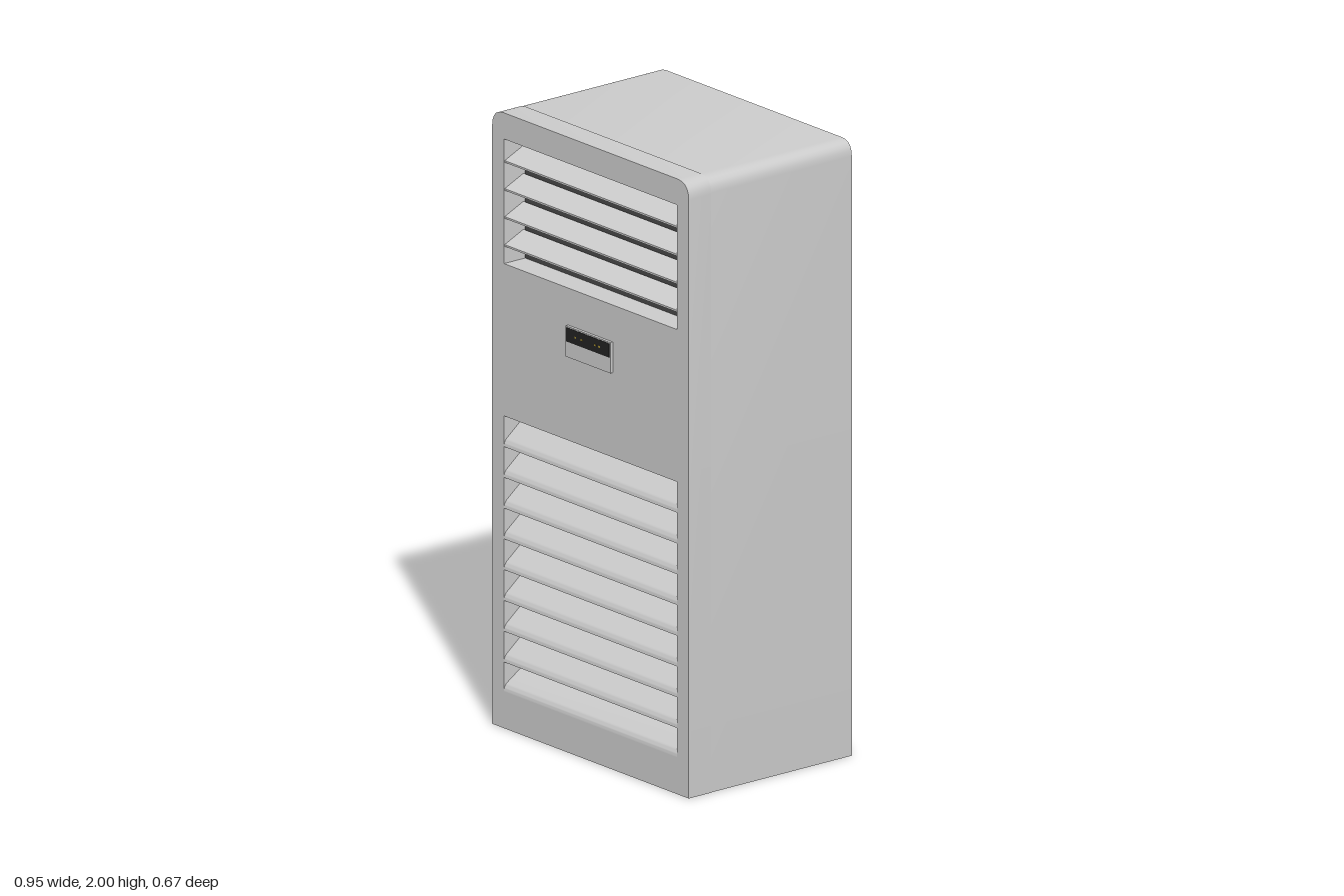
import * as THREE from 'three';
import { toCreasedNormals } from 'three/addons/utils/BufferGeometryUtils.js';

const grey = new THREE.MeshStandardMaterial({ color: 0xcccccc });
const dark = new THREE.MeshStandardMaterial({ color: 0x484848 });
const black = new THREE.MeshStandardMaterial({ color: 0x222222 });
const yellow = new THREE.MeshStandardMaterial({ color: 0xa08a30 });

const FRONT = 0.32, SEAM = 0.23, BACK = -0.335;
const OPENING = 0.418; // half width of both grilles

// Cabinet outline: square base, rounded top corners
function outline(w, h, r) {
  const s = new THREE.Shape();
  s.moveTo(-w, 0);
  s.lineTo(w, 0);
  s.lineTo(w, h - r);
  s.quadraticCurveTo(w, h, w - r, h);
  s.lineTo(-w + r, h);
  s.quadraticCurveTo(-w, h, -w, h - r);
  s.closePath();
  return s;
}

function rectHole(y0, y1) {
  const p = new THREE.Path();
  p.moveTo(-OPENING, y0);
  p.lineTo(-OPENING, y1);
  p.lineTo(OPENING, y1);
  p.lineTo(OPENING, y0);
  p.closePath();
  return p;
}

// Extrude a (z, y) section across the width
function acrossWidth(shape) {
  const g = new THREE.ExtrudeGeometry(shape, { depth: OPENING * 2, bevelEnabled: false, curveSegments: 8 });
  g.rotateY(-Math.PI / 2);
  g.translate(OPENING, 0, 0);
  return toCreasedNormals(g, 0.6);
}

export function createModel() {
  const model = new THREE.Group();
  model.name = 'floorStandingAirConditioner';
  const add = (name, geometry, material, x = 0, y = 0, z = 0) => {
    const m = new THREE.Mesh(geometry, material);
    m.name = name;
    m.position.set(x, y, z);
    model.add(m);
  };
  const box = (w, h, d) => new THREE.BoxGeometry(w, h, d);
  const extrude = (shape, depth) => toCreasedNormals(
    new THREE.ExtrudeGeometry(shape, { depth, bevelEnabled: false, curveSegments: 5 }), 0.5);

  // Rear cabinet and the slightly proud front shell
  add('cabinet', extrude(outline(0.473, 1.998, 0.05), SEAM - BACK), grey, 0, 0, BACK);
  const front = outline(0.475, 2, 0.055);
  front.holes.push(rectHole(1.51, 1.915), rectHole(0.12, 1.015));
  add('frontShell', extrude(front, FRONT - SEAM), grey, 0, 0, SEAM);

  // Dark backing inside the grilles
  add('upperBacking', box(OPENING * 2, 0.405, 0.004), dark, 0, 1.7125, SEAM + 0.003);
  add('lowerBacking', box(OPENING * 2, 0.895, 0.004), dark, 0, 0.5675, SEAM + 0.003);

  // Upper outlet: straight sloping blades
  const blade = new THREE.Shape();
  blade.moveTo(SEAM + 0.012, 0.04);
  blade.lineTo(SEAM + 0.012, 0.034);
  blade.lineTo(FRONT - 0.003, 0);
  blade.lineTo(FRONT - 0.003, 0.006);
  blade.closePath();
  const bladeGeo = acrossWidth(blade);
  for (let i = 0; i < 4; i++) add('upperBlade' + (i + 1), bladeGeo, grey, 0, 1.838 - i * 0.091, 0);

  // Lower intake: blades rolled over at the front edge
  const louver = new THREE.Shape();
  louver.moveTo(SEAM + 0.01, 0.08);
  louver.lineTo(SEAM + 0.01, 0.07);
  louver.lineTo(FRONT - 0.012, 0.01);
  louver.lineTo(FRONT - 0.008, 0);
  louver.lineTo(FRONT, 0);
  louver.quadraticCurveTo(FRONT, 0.018, FRONT - 0.016, 0.029);
  louver.closePath();
  const louverGeo = acrossWidth(louver);
  for (let i = 0; i < 8; i++) add('lowerLouver' + (i + 1), louverGeo, grey, 0, 0.915 - i * 0.1, 0);

  // Solid sill running into the panel under the last gap
  const sill = new THREE.Shape();
  sill.moveTo(SEAM + 0.006, 0.12);
  sill.lineTo(FRONT, 0.12);
  sill.quadraticCurveTo(FRONT, 0.138, FRONT - 0.016, 0.148);
  sill.lineTo(SEAM + 0.006, 0.193);
  sill.closePath();
  add('lowerSill', acrossWidth(sill), grey);

  // Control panel with display window and indicators
  add('controlPanel', box(0.216, 0.1, 0.01), grey, 0, 1.34, FRONT + 0.005);
  add('displayWindow', box(0.208, 0.046, 0.002), black, 0, 1.363, FRONT + 0.01);
  for (const x of [-0.06, -0.03, 0.035, 0.055]) {
    add('indicator', box(0.008, 0.006, 0.001), yellow, x, 1.363, FRONT + 0.011);
  }
  return model;
}
